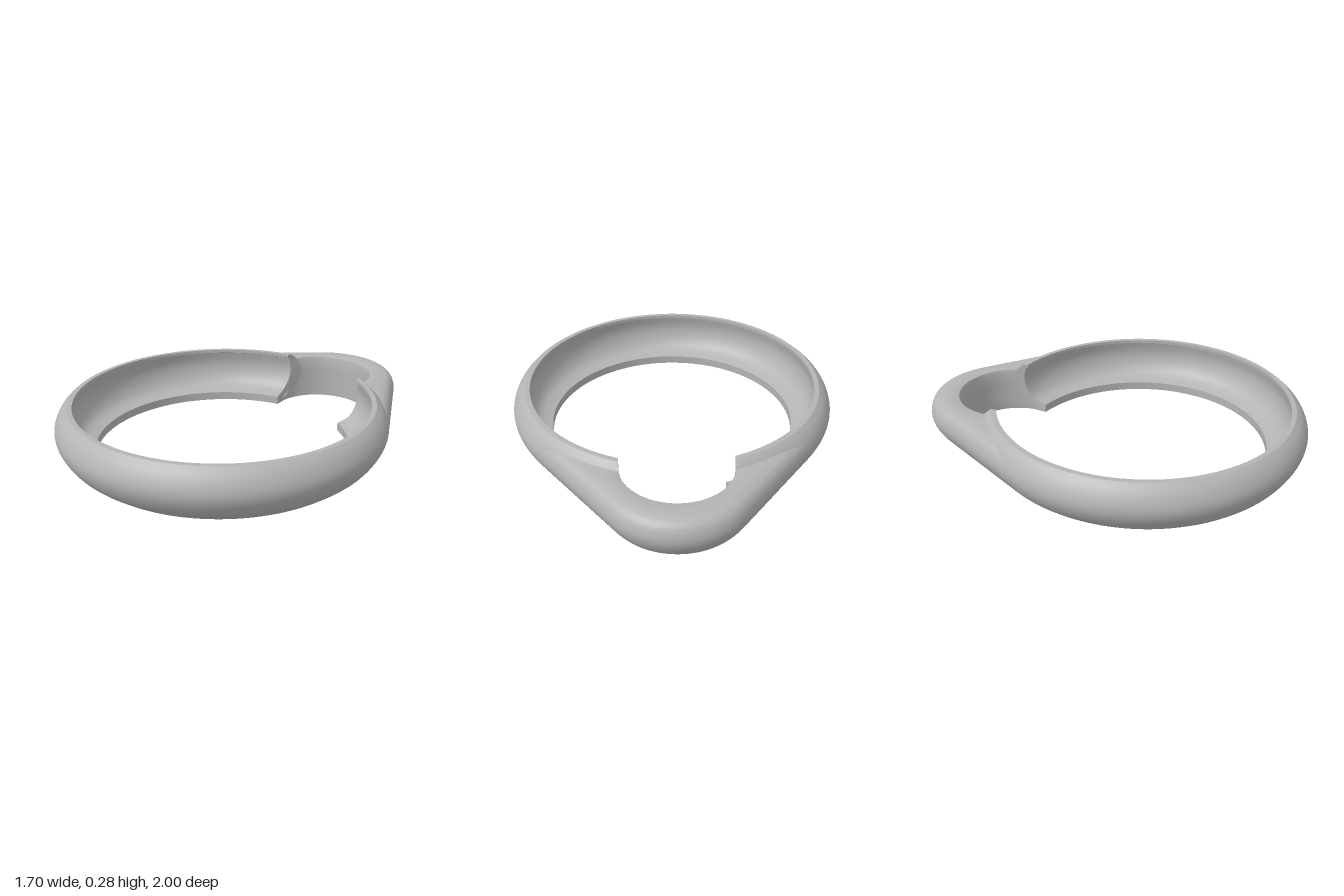
import * as THREE from 'three';
import { toCreasedNormals } from 'three/addons/utils/BufferGeometryUtils.js';

const RING_Z = 0.15, RING_R = 0.85;    // main ring, seen from above
const LOOP_Z = -0.62, LOOP_R = 0.38;   // outside of the back loop
const HOLE_Z = -0.57, HOLE_R = 0.27;   // round opening in the loop
const TANGENT = Math.acos((RING_R - LOOP_R) / (RING_Z - LOOP_Z));

const spline = (pts, n) => new THREE.SplineCurve(pts.map(p => new THREE.Vector2(...p))).getPoints(n);

// Point at an angle from the back, around a centre on the z axis
const polar = (cz, r, a, y) => new THREE.Vector3(r * Math.sin(a), y, cz - r * Math.cos(a));

// Angle on a ring of radius r where it meets the round opening
function cutAngle(r, hole = HOLE_R) {
  const d = RING_Z - HOLE_Z;
  return Math.acos((r * r + d * d - hole * hole) / (2 * r * d));
}

// Skin closed cross-sections; an outline adds end caps
function sweep(sections, outline) {
  const n = sections[0].length, last = (sections.length - 1) * n, index = [];
  for (let i = 0; i < sections.length - 1; i++) {
    for (let j = 0; j < n; j++) {
      const k = (j + 1) % n, a = i * n + j, b = i * n + k;
      index.push(a, b, a + n, b, b + n, a + n);
    }
  }
  if (outline) {
    for (const [a, b, c] of THREE.ShapeUtils.triangulateShape(outline, [])) {
      index.push(a, c, b, last + a, last + b, last + c);
    }
  }
  const geometry = new THREE.BufferGeometry().setFromPoints(sections.flat());
  geometry.setIndex(index);
  return toCreasedNormals(geometry, 0.55);
}

// Open ring with a rounded outside and a hollow channel inside
function ringGeometry() {
  const outside = spline([[0.74, 0], [0.8, 0.05], [0.838, 0.11], [0.85, 0.16],
    [0.841, 0.205], [0.815, 0.25], [0.782, 0.28]], 18);
  const channel = spline([[0.768, 0.258], [0.78, 0.2], [0.774, 0.15], [0.755, 0.105],
    [0.72, 0.067], [0.655, 0.045]], 14);
  const outline = [...outside, new THREE.Vector2(0.757, 0.28), new THREE.Vector2(0.757, 0.263),
    ...channel, new THREE.Vector2(0.655, 0)];
  const sections = [], steps = 160;
  for (let i = 0; i <= steps; i++) {
    sections.push(outline.map(({ x: r, y }) => {
      const a = cutAngle(r);
      return polar(RING_Z, r, a + (2 * Math.PI - 2 * a) * i / steps, y);
    }));
  }
  return sweep(sections, outline);
}

// Loop body: tangent sides, rounded back, flat top and round opening
function loopGeometry() {
  const SIDE_END = 0.64, HOLE_START = 0.44, steps = 100;
  // inset from the outer edge, height
  const outer = spline([[0.11, 0], [0.05, 0.05], [0.012, 0.11], [0, 0.16],
    [0.01, 0.205], [0.025, 0.228], [0.045, 0.242], [0.075, 0.25]], 20);
  // ring radius, opening radius, height
  const inner = [[0.79, 0.282, 0.25], [0.79, 0.274, 0.247], [0.79, HOLE_R, 0.238],
    [0.81, HOLE_R, 0.16], [0.79, HOLE_R, 0.08], [0.7, HOLE_R, 0]];

  const outerPoint = (inset, y, s) => {
    const end = polar(LOOP_Z, LOOP_R - inset, TANGENT, y);
    if (s < SIDE_END) return polar(RING_Z, RING_R - inset, TANGENT, y).lerp(end, s / SIDE_END);
    return polar(LOOP_Z, LOOP_R - inset, TANGENT * (1 - s) / (1 - SIDE_END), y);
  };
  const innerPoint = (r, hole, y, s) => {
    const cut = cutAngle(r, hole);
    if (s < HOLE_START) return polar(RING_Z, r, THREE.MathUtils.lerp(TANGENT, cut, s / HOLE_START), y);
    const p = polar(RING_Z, r, cut, y);
    const start = Math.atan2(p.x, HOLE_Z - p.z);
    return polar(HOLE_Z, hole, start * (1 - s) / (1 - HOLE_START), y);
  };

  const sections = [];
  for (let i = 0; i <= steps; i++) {
    const u = 2 * i / steps - 1, s = 1 - Math.abs(u);
    const points = [...outer.map(p => outerPoint(p.x, p.y, s)),
      ...inner.map(([r, hole, y]) => innerPoint(r, hole, y, s))];
    if (u < 0) points.forEach(p => { p.x = -p.x; });
    sections.push(points);
  }
  return sweep(sections);
}

export function createModel() {
  const grey = new THREE.MeshStandardMaterial({ color: 0xb4b4b4 });
  grey.name = 'grey';
  const model = new THREE.Group();
  model.name = 'ringHolder';
  const add = (name, geometry) => {
    const mesh = new THREE.Mesh(geometry, grey);
    mesh.name = name;
    model.add(mesh);
  };
  add('channelledRing', ringGeometry());
  add('backLoop', loopGeometry());
  return model;
}
